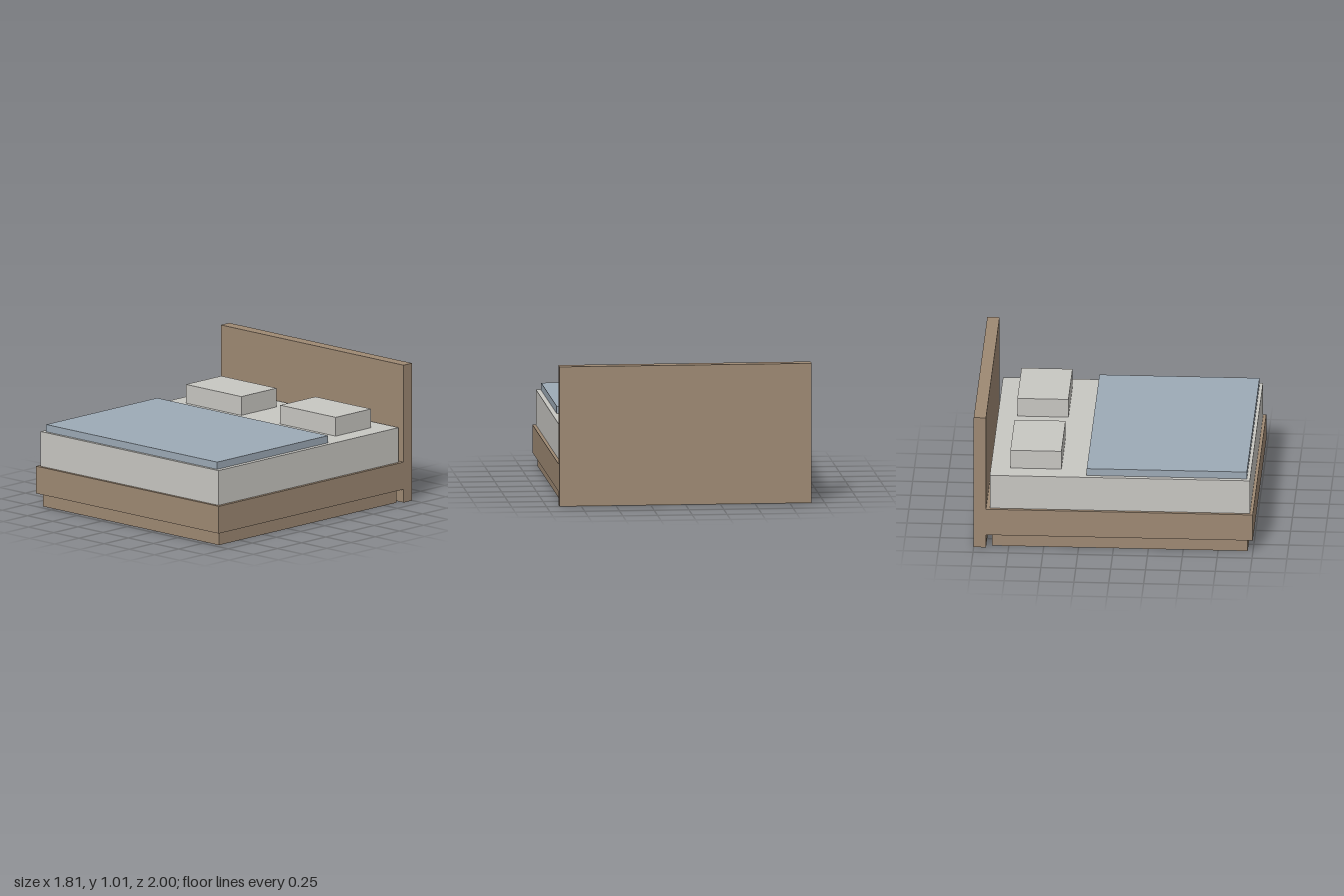
import * as THREE from 'three';

export function createModel() {
  const bed = new THREE.Group();
  bed.name = 'bed';

  const makeMaterial = (name, color) => {
    const material = new THREE.MeshStandardMaterial({ color });
    material.name = name;
    return material;
  };
  const wood = makeMaterial('wood', 0x9e8973);
  const linen = makeMaterial('linen', 0xc8c7c2);
  const blue = makeMaterial('blue fabric', 0x9daab6);

  // Box given by its extents along each axis
  const addBox = (name, material, [x0, x1], [y0, y1], [z0, z1]) => {
    const mesh = new THREE.Mesh(new THREE.BoxGeometry(x1 - x0, y1 - y0, z1 - z0), material);
    mesh.position.set((x0 + x1) / 2, (y0 + y1) / 2, (z0 + z1) / 2);
    mesh.name = name;
    bed.add(mesh);
  };

  // Wooden structure: recessed plinth, frame and full-height headboard
  addBox('plinth', wood, [-0.872, 0.872], [0, 0.097], [-0.872, 0.962]);
  addBox('frame', wood, [-0.907, 0.907], [0.097, 0.297], [-0.912, 1]);
  addBox('headboard', wood, [-0.907, 0.907], [0, 1.01], [-1, -0.912]);

  // Bedding
  addBox('mattress', linen, [-0.883, 0.883], [0.297, 0.552], [-0.886, 0.978]);
  addBox('blanket', blue, [-0.848, 0.848], [0.552, 0.605], [-0.193, 0.955]);

  // Pair of pillows, mirrored across the middle
  for (const [name, side] of [['leftPillow', 1], ['rightPillow', -1]]) {
    const centre = side * 0.468;
    addBox(name, linen, [centre - 0.275, centre + 0.275], [0.552, 0.69], [-0.746, -0.38]);
  }

  return bed;
}
